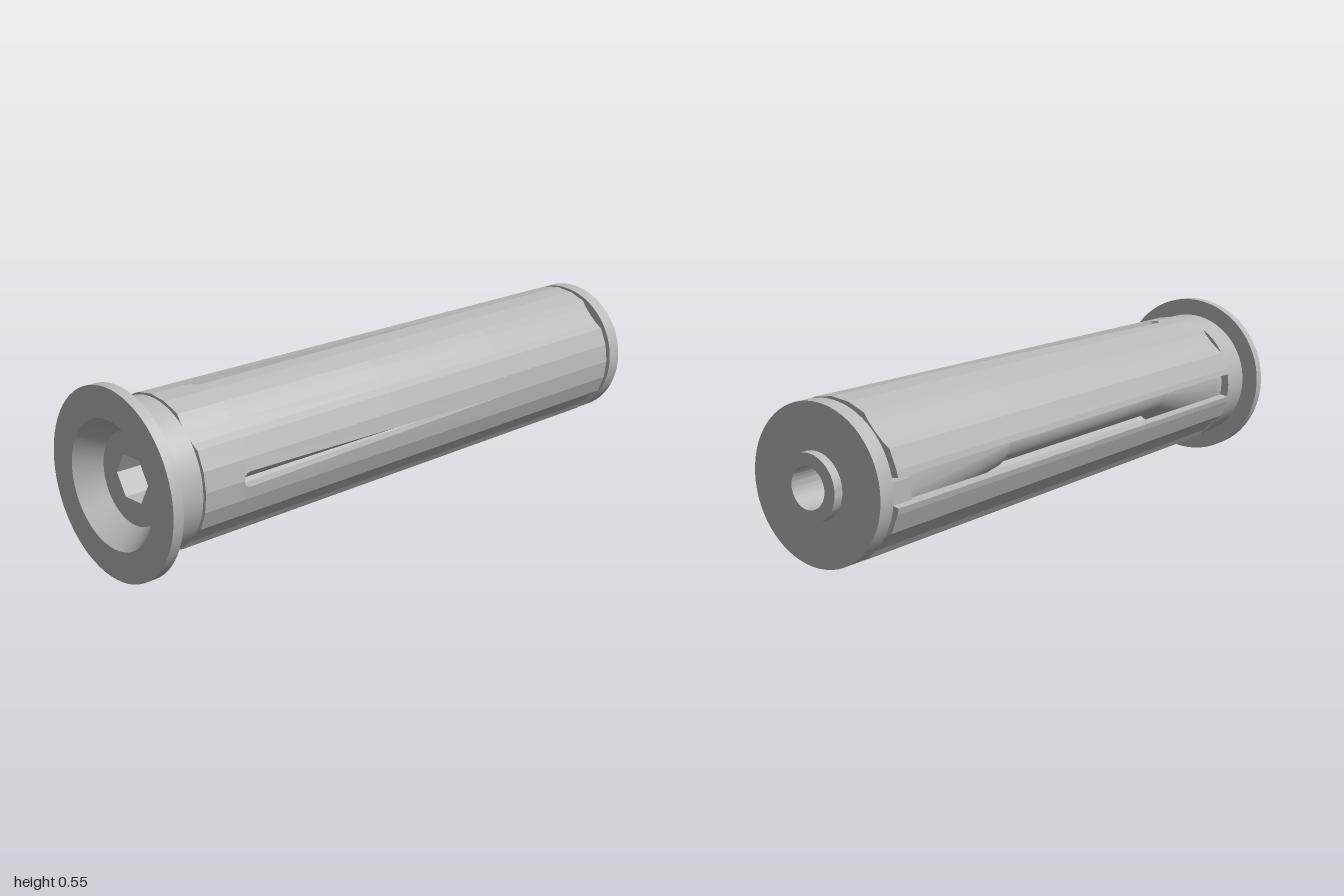
import * as THREE from 'three';
import { toCreasedNormals } from 'three/addons/utils/BufferGeometryUtils.js';

const steel = new THREE.MeshStandardMaterial({ color: 0xb8b8b8 });
steel.name = 'steel';

const R = 0.2225, INNER = 0.195;      // sleeve radii
const SLIT_FRONT = 0.68, SLIT_BACK = -0.4, SLIT_R = 0.022;
const DEG = Math.PI / 180;

function part(name, geometry) {
  const mesh = new THREE.Mesh(geometry, steel);
  mesh.name = name;
  return mesh;
}

// Turned part: profile of [radius, position along z]
function turned(name, profile) {
  const geo = new THREE.LatheGeometry(profile.map(([r, s]) => new THREE.Vector2(r, s)), 64);
  geo.rotateX(Math.PI / 2);
  return part(name, toCreasedNormals(geo, 0.4));
}

// Half width of a tapered slit with a rounded front end
function slitHalfWidth(s) {
  const c = SLIT_FRONT - SLIT_R;
  if (s >= SLIT_FRONT || s <= SLIT_BACK) return 0;
  if (s > c) return Math.sqrt(SLIT_R ** 2 - (s - c) ** 2);
  return SLIT_R * (s - SLIT_BACK) / (c - SLIT_BACK);
}

// Quarter of the sleeve, with a shallow flute in its middle
function sleevePanel(quarter) {
  const stations = [-0.925, SLIT_BACK, 0.1, 0.658, 0.67, 0.677, SLIT_FRONT, 0.81];
  const angles = [0, 15, 30, 36, 45, 54, 60, 75, 90];
  const depth = { 36: 0.01, 45: 0.014, 54: 0.01 };
  const n = angles.length;
  const loops = stations.map((s) => {
    const slit = slitHalfWidth(s) / R;
    const open = 0.04 / R;             // full-length gap on the -x side
    const from = quarter === 2 ? open : slit;
    const to = Math.PI / 2 - (quarter === 1 ? open : slit);
    const point = (deg, r) => {
      const a = quarter * Math.PI / 2 + Math.min(Math.max(deg * DEG, from), to);
      return new THREE.Vector3(r * Math.cos(a), r * Math.sin(a), s);
    };
    const outer = angles.map((d) => point(d, R - (depth[d] || 0)));
    const inner = angles.map((d) => point(d, INNER)).reverse();
    return [...outer, ...inner];
  });
  const pos = [];
  const quad = (a, b, c, d) => [a, b, c, a, c, d].forEach((p) => pos.push(p.x, p.y, p.z));
  for (let k = 0; k < loops.length - 1; k++) {
    const A = loops[k], B = loops[k + 1];
    for (let i = 0; i < 2 * n; i++) {
      const j = (i + 1) % (2 * n);
      quad(A[i], A[j], B[j], B[i]);
    }
  }
  // end faces
  const back = loops[0], front = loops[loops.length - 1];
  for (let i = 0; i < n - 1; i++) {
    const m = 2 * n - 1 - i;
    quad(front[i], front[i + 1], front[m - 1], front[m]);
    quad(back[m], back[m - 1], back[i + 1], back[i]);
  }
  const geo = new THREE.BufferGeometry();
  geo.setAttribute('position', new THREE.Float32BufferAttribute(pos, 3));
  geo.computeVertexNormals();
  return part('sleevePanel', geo);
}

export function createModel() {
  const model = new THREE.Group();
  model.name = 'expandingPlug';
  const plug = new THREE.Group();
  plug.name = 'plugAssembly';
  model.add(plug);

  // split, fluted sleeve
  const sleeve = new THREE.Group();
  sleeve.name = 'sleeve';
  for (let q = 0; q < 4; q++) sleeve.add(sleevePanel(q));
  plug.add(sleeve);

  // flanged front collar with countersunk cup
  plug.add(turned('frontCollar', [
    [0.09, 0.6], [0.19, 0.79], [0.19, 0.815], [0.217, 0.815], [0.217, 0.921],
    [0.273, 0.921], [0.273, 0.954], [0.184, 0.954], [0.134, 0.885],
  ]));

  // bolt head with hexagonal socket
  const head = new THREE.Shape().absarc(0, 0, 0.135, 0, Math.PI * 2);
  const hex = new THREE.Path();
  hex.setFromPoints(Array.from({ length: 6 }, (_, i) =>
    new THREE.Vector2(0.071 * Math.cos(-i * Math.PI / 3), 0.071 * Math.sin(-i * Math.PI / 3))));
  hex.closePath();
  head.holes.push(hex);
  const headGeo = new THREE.ExtrudeGeometry(head, { depth: 0.1, bevelEnabled: false, curveSegments: 32 });
  headGeo.translate(0, 0, 0.785);
  plug.add(part('boltHead', headGeo));
  const floor = new THREE.CircleGeometry(0.09, 32);
  floor.translate(0, 0, 0.795);
  plug.add(part('socketFloor', floor));

  // bored bolt tip, end cap, expanding cone and shank
  plug.add(turned('coneNutAndBolt', [
    [0, -0.87], [0.058, -0.87], [0.058, -1.022], [0.093, -1.022], [0.093, -0.994],
    [0.221, -0.994], [0.221, -0.945], [0.19, -0.945], [0.19, -0.92],
    [0.1, -0.3], [0.09, -0.3], [0.09, 0.78],
  ]));

  // key that rides in the open gap
  const key = part('nutKey', new THREE.BoxGeometry(0.06, 0.06, 0.08));
  key.position.set(-0.185, 0, -0.91);
  plug.add(key);

  plug.rotation.y = -21.25 * DEG;
  plug.position.set(0.016, 0.273, 0.006);
  return model;
}
